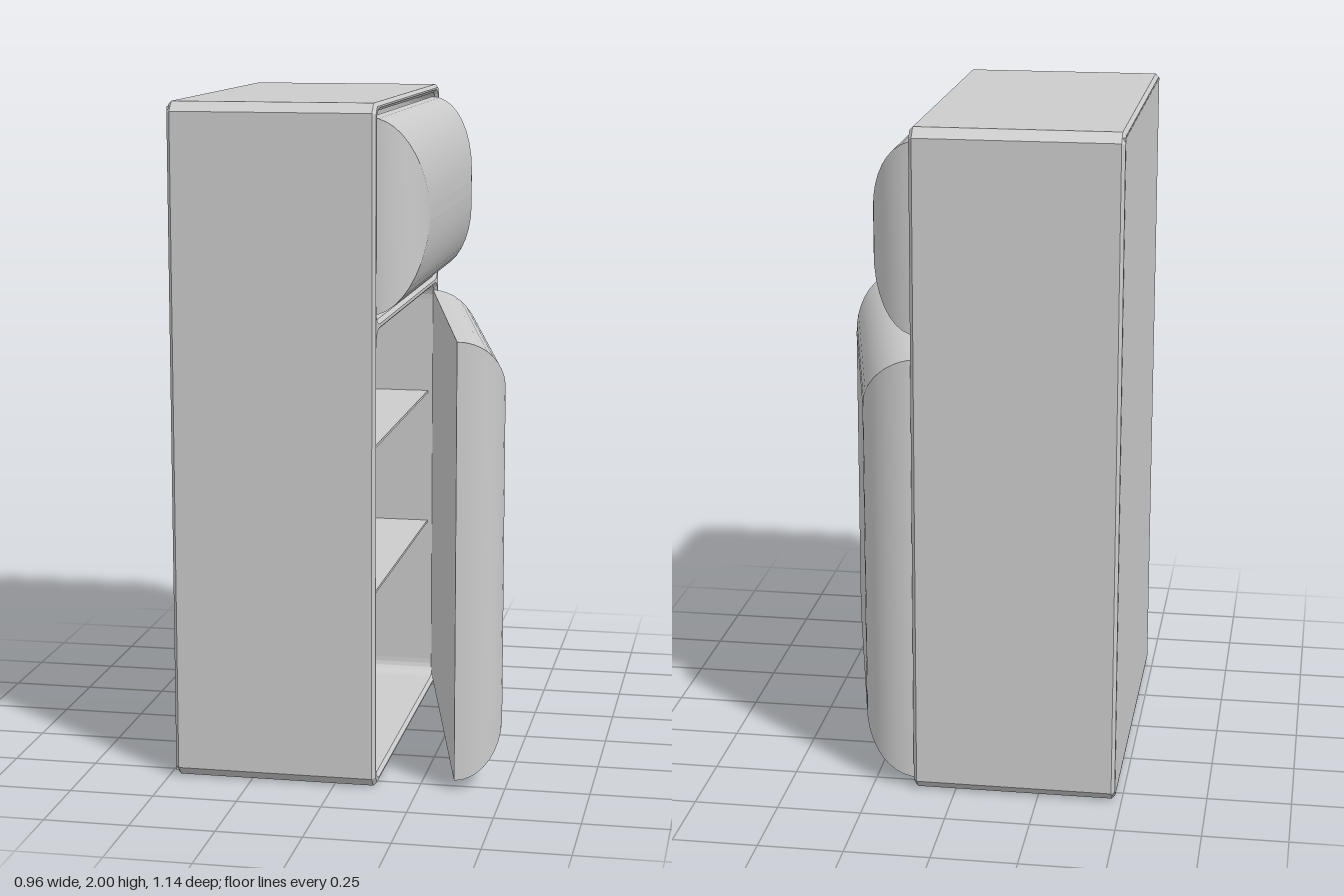
import * as THREE from 'three';

const material = new THREE.MeshStandardMaterial({ color: 0xcccccc });

function add(parent, name, geometry) {
  const mesh = new THREE.Mesh(geometry, material);
  mesh.name = name;
  parent.add(mesh);
  return mesh;
}

// Rounded rectangle path used for the two compartment openings
function opening(halfW, y0, y1, r) {
  const p = new THREE.Path();
  p.moveTo(-halfW + r, y0);
  p.lineTo(halfW - r, y0);
  p.quadraticCurveTo(halfW, y0, halfW, y0 + r);
  p.lineTo(halfW, y1 - r);
  p.quadraticCurveTo(halfW, y1, halfW - r, y1);
  p.lineTo(-halfW + r, y1);
  p.quadraticCurveTo(-halfW, y1, -halfW, y1 - r);
  p.lineTo(-halfW, y0 + r);
  p.quadraticCurveTo(-halfW, y0, -halfW + r, y0);
  return p;
}

// Pillow-shaped door: rectangles inset along a quarter ellipse, mitred at the corners.
// Spans y 0..h, z 0..w and bulges from x = 0 to x = d.
function doorGeometry(h, w, d, ry, rz, steps = 10) {
  const positions = [], indices = [];
  const ring = (i) => {
    const t = (i / steps) * Math.PI / 2, k = 1 - Math.cos(t);
    const x = d * Math.sin(t), y = ry * k, z = rz * k;
    return [[x, y, z], [x, y, w - z], [x, h - y, w - z], [x, h - y, z]];
  };
  for (let side = 0; side < 4; side++) {
    const base = positions.length / 3;
    for (let i = 0; i <= steps; i++) {
      const c = ring(i);
      positions.push(...c[side], ...c[(side + 1) % 4]);
      if (i < steps) {
        const a = base + i * 2;
        indices.push(a, a + 2, a + 1, a + 1, a + 2, a + 3);
      }
    }
  }
  // Back and front panels
  for (const corners of [ring(0), ring(steps).reverse()]) {
    const b = positions.length / 3;
    positions.push(...corners.flat());
    indices.push(b, b + 1, b + 2, b, b + 2, b + 3);
  }
  const g = new THREE.BufferGeometry();
  g.setAttribute('position', new THREE.Float32BufferAttribute(positions, 3));
  g.setIndex(indices);
  g.computeVertexNormals();
  return g;
}

export function createModel() {
  const model = new THREE.Group();
  model.name = 'refrigerator';

  // Cabinet shell: chamfered outline with two openings
  const hw = 0.57, c = 0.028, bevel = 0.01;
  const outline = new THREE.Shape([
    [-hw + c, 0], [hw - c, 0], [hw, c], [hw, 2 - c],
    [hw - c, 2], [-hw + c, 2], [-hw, 2 - c], [-hw, c],
  ].map(([x, y]) => new THREE.Vector2(x, y)));
  outline.holes.push(opening(0.545, 0.025, 1.35, 0.05), opening(0.545, 1.38, 1.975, 0.05));
  const shell = new THREE.ExtrudeGeometry(outline, {
    depth: 0.605 - 2 * bevel, bevelThickness: bevel, bevelSize: bevel,
    bevelOffset: -bevel, bevelSegments: 1, curveSegments: 6,
  });
  shell.rotateY(Math.PI / 2);
  shell.translate(-0.48 + bevel, 0, 0);
  add(model, 'cabinet', shell);

  // Back wall closes both compartments
  add(model, 'backWall', new THREE.BoxGeometry(0.05, 1.97, 1.11)).position.set(-0.4555, 1, 0);

  // Thin shelves
  for (const y of [0.55, 0.99]) {
    add(model, 'shelf', new THREE.BoxGeometry(0.53, 0.008, 1.09)).position.set(-0.17, y, 0);
  }

  // Closed freezer door
  add(model, 'freezerDoor', doorGeometry(0.56, 1.09, 0.15, 0.26, 0.14))
    .position.set(0.105, 1.4, -0.545);

  // Lower door, ajar on its hinge
  const door = add(model, 'mainDoor', doorGeometry(1.3, 1.11, 0.152, 0.17, 0.14));
  door.position.set(0.111, 0.03, -0.543);
  door.rotation.y = THREE.MathUtils.degToRad(12.7);

  return model;
}
